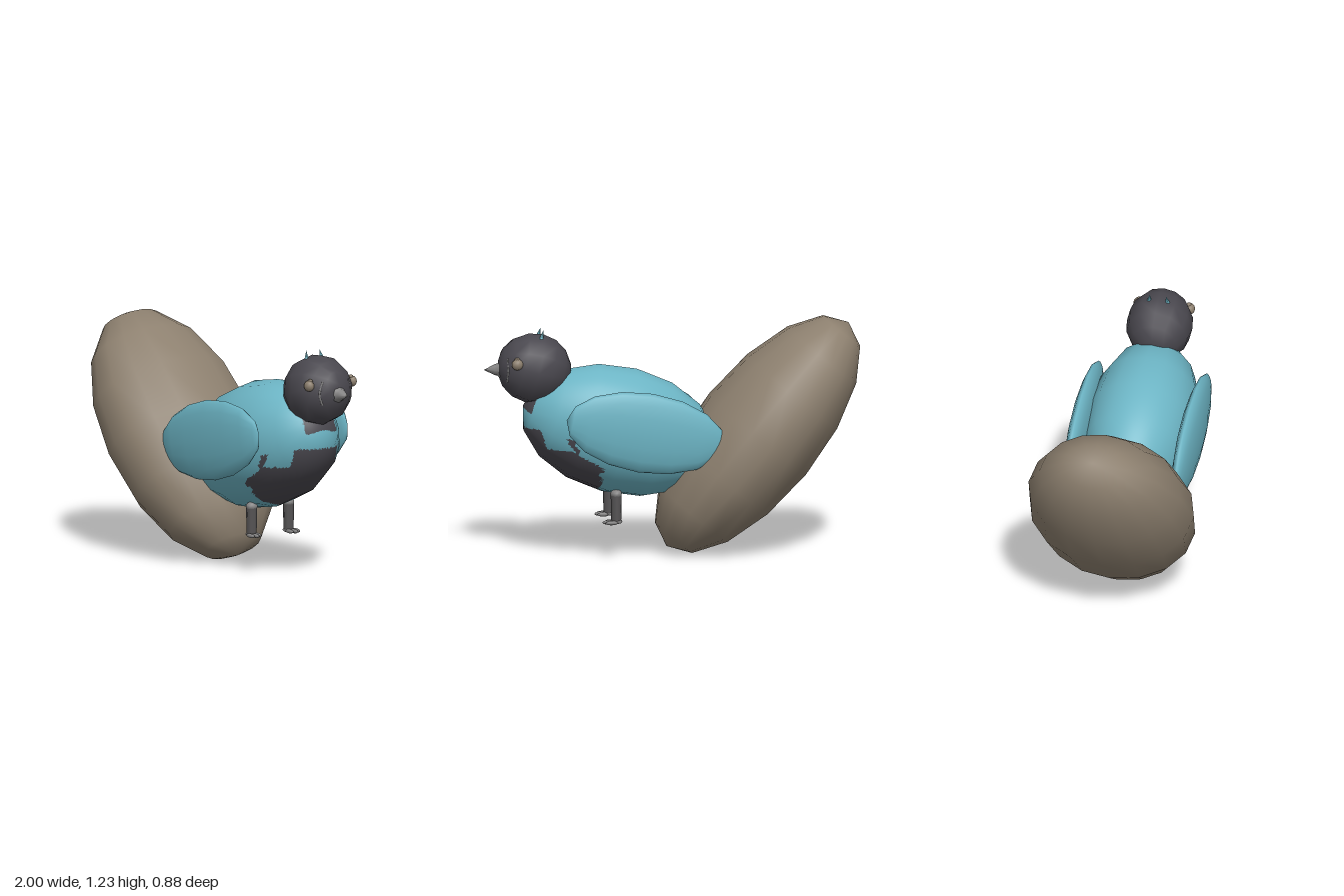
import * as THREE from 'three';

const mat = (name, color) => {
  const m = new THREE.MeshStandardMaterial({ color });
  m.name = name;
  return m;
};

// Ellipsoid with its poles on the long axis, tilted in the x-y plane
function ellipsoid(center, radii, degrees = 0, sides = 16, rings = 8) {
  return new THREE.SphereGeometry(1, sides, rings)
    .rotateZ(-Math.PI / 2)
    .scale(...radii)
    .rotateZ(THREE.MathUtils.degToRad(degrees))
    .translate(...center);
}

// Splits each flat triangle into n*n pieces and sorts them into two material groups
function paint(source, n, isPainted) {
  const geo = source.toNonIndexed();
  const pos = geo.attributes.position, nor = geo.attributes.normal;
  const sets = [{ p: [], n: [] }, { p: [], n: [] }];
  const mix = (attr, t, u, v) => {
    const [a, b, c] = [0, 1, 2].map((k) => new THREE.Vector3().fromBufferAttribute(attr, t + k));
    return a.multiplyScalar(1 - u - v).addScaledVector(b, u).addScaledVector(c, v);
  };
  for (let t = 0; t < pos.count; t += 3) {
    const add = (corners) => {
      const pts = corners.map(([i, j]) => mix(pos, t, i / n, j / n));
      const mid = pts[0].clone().add(pts[1]).add(pts[2]).divideScalar(3);
      const set = sets[isPainted(mid) ? 1 : 0];
      corners.forEach(([i, j], k) => {
        set.p.push(...pts[k].toArray());
        set.n.push(...mix(nor, t, i / n, j / n).normalize().toArray());
      });
    };
    for (let i = 0; i < n; i++) for (let j = 0; j < n - i; j++) {
      add([[i, j], [i + 1, j], [i, j + 1]]);
      if (i + j < n - 1) add([[i + 1, j], [i + 1, j + 1], [i, j + 1]]);
    }
  }
  const out = new THREE.BufferGeometry();
  out.setAttribute('position', new THREE.Float32BufferAttribute([...sets[0].p, ...sets[1].p], 3));
  out.setAttribute('normal', new THREE.Float32BufferAttribute([...sets[0].n, ...sets[1].n], 3));
  out.addGroup(0, sets[0].p.length / 3, 0);
  out.addGroup(sets[0].p.length / 3, sets[1].p.length / 3, 1);
  return out;
}

// Half outline of the belly patch as [|z|, y]
const PATCH = [[0, 0.7], [0.14, 0.7], [0.145, 0.6], [0.228, 0.59], [0.228, 0.49], [0.19, 0.45],
  [0.18, 0.4], [0.13, 0.385], [0.06, 0.35], [0, 0.34]];

function insidePatch(z, y) {
  let inside = false;
  PATCH.forEach(([z1, y1], i) => {
    const [z2, y2] = PATCH[(i + 1) % PATCH.length];
    if ((y1 > y) !== (y2 > y) && z < z1 + ((y - y1) / (y2 - y1)) * (z2 - z1)) inside = !inside;
  });
  return inside;
}

const isDark = ({ x, y, z }) => {
  const w = Math.abs(z);
  if (x < 0.4) return false;
  const collar = x > 0.6 && w < 0.1 && y > 0.8 - 0.25 * Math.min(w, 0.08);
  const fleck = w > 0.222 && w < 0.237 && y > 0.59 && y < 0.66;
  return collar || fleck || insidePatch(w, y);
};

export function createModel() {
  const teal = mat('teal feathers', 0x6cb4c4);
  const dark = mat('charcoal feathers', 0x4a484f);
  const tan = mat('taupe', 0x8d806f);
  const grey = mat('beak grey', 0x858484);
  const shin = mat('leg grey', 0x565455);

  const model = new THREE.Group();
  model.name = 'bird';
  const add = (name, geometry, material, parent = model) => {
    const mesh = new THREE.Mesh(geometry, material);
    mesh.name = name;
    parent.add(mesh);
    return mesh;
  };

  // Tail, body and head
  add('tail', ellipsoid([-0.455, 0.618, 0], [0.757, 0.324, 0.44], 129.7), tan);
  add('body', paint(ellipsoid([0.28, 0.663, 0], [0.532, 0.337, 0.295], 16), 10, isDark), [teal, dark]);
  add('head', ellipsoid([0.733, 1.006, 0], [0.197, 0.186, 0.176], 15, 12, 8), dark);

  // Beak: flared collar and pointed tip
  const profile = [[0.03, 0], [0.05, 0.015], [0.048, 0.035], [0.033, 0.048], [0.028, 0.065], [0, 0.12]]
    .map(([r, h]) => new THREE.Vector2(r, h));
  add('beak', new THREE.LatheGeometry(profile, 8).rotateZ(-Math.PI / 2).translate(0.88, 1.005, 0), grey);

  for (const s of [1, -1]) {
    const side = s > 0 ? 'Near' : 'Far';

    add('wing' + side, ellipsoid([0.188, 0.696, 0.29 * s], [0.428, 0.212, 0.056], 10.8), teal);

    // Eye with a small brow bead
    add('eye' + side, ellipsoid([0.845, 1.053, 0.14 * s], [0.03, 0.03, 0.025], 0, 12, 8), tan);
    add('brow' + side, ellipsoid([0.845, 1.078, 0.133 * s], [0.015, 0.011, 0.014], 0, 8, 6), tan);

    // Cheek stripe following the head
    const stripe = new THREE.CatmullRomCurve3([[0.08, 1.075], [0.102, 1.01], [0.085, 0.952]].map(([z, y]) => {
      const k = 1 - (z / 0.173) ** 2 - ((y - 1.006) / 0.184) ** 2;
      return new THREE.Vector3(0.733 + 0.189 * Math.sqrt(k), y, z * s);
    }));
    add('cheekStripe' + side, new THREE.TubeGeometry(stripe, 6, 0.006, 5), grey);

    // Crest spike
    const crest = add('crest' + side, new THREE.ConeGeometry(0.018, 0.07, 6), teal);
    crest.position.set(0.7, 1.18, 0.048 * s);
    crest.rotation.set(-0.15 * s, 0, 0.25);

    // Leg: hip, shin and three-toed foot
    const leg = new THREE.Group();
    leg.name = 'leg' + side;
    leg.position.set(0.317, 0, 0.121 * s);
    model.add(leg);
    add('hip', ellipsoid([0, 0.345, 0], [0.03, 0.025, 0.032], 0, 10, 8), grey, leg);
    add('shin', new THREE.CylinderGeometry(0.029, 0.027, 0.15, 8).translate(0, 0.27, 0), shin, leg);
    add('heel', ellipsoid([-0.005, 0.198, 0], [0.028, 0.014, 0.03], 0, 8, 6), grey, leg);
    for (const t of [-1, 0, 1]) {
      const reach = t === 0 ? 0.04 : 0.028;
      add('toe', ellipsoid([reach, 0.195, 0.022 * t + 0.006 * s], [0.034, 0.012, 0.012], 0, 8, 6), grey, leg);
    }
  }
  return model;
}
